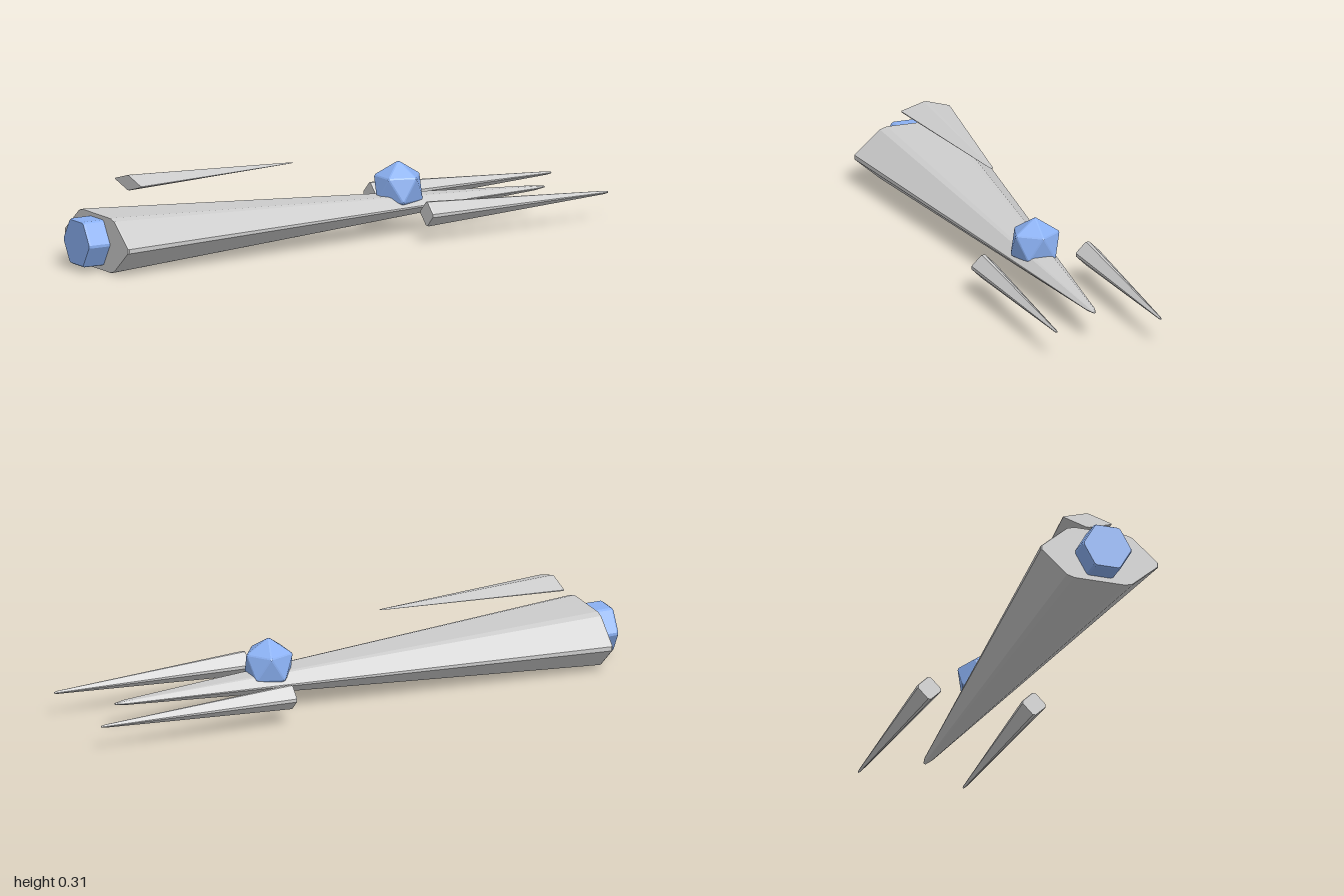
import * as THREE from 'three';
import { ConvexGeometry } from 'three/addons/geometries/ConvexGeometry.js';

const grey = new THREE.MeshStandardMaterial({ color: 0xcccccc, flatShading: true });
const blue = new THREE.MeshStandardMaterial({ color: 0x8ab0f2, flatShading: true });

// Regular polygon with chamfered corners, scaled to fill -1..1 in y and z
function chamferedPolygon(sides, chamfer) {
  const corner = i => {
    const a = (i / sides) * Math.PI * 2;
    return new THREE.Vector2(Math.cos(a), Math.sin(a));
  };
  const pts = [];
  for (let i = 0; i < sides; i++) {
    pts.push(corner(i).lerp(corner(i - 1), chamfer), corner(i).lerp(corner(i + 1), chamfer));
  }
  const w = Math.max(...pts.map(p => p.x)), h = Math.max(...pts.map(p => p.y));
  return pts.map(p => ({ z: p.x / w, y: p.y / h }));
}

// Sections along x: stations are [x, scale] pairs of the same outline
function loft(outline, stations, halfH, halfW) {
  const pos = [];
  const at = (s, i) => {
    const p = outline[i % outline.length];
    return [s[0], p.y * halfH * s[1], p.z * halfW * s[1]];
  };
  const first = stations[0], last = stations[stations.length - 1];
  for (let i = 0; i < outline.length; i++) {
    for (let k = 0; k < stations.length - 1; k++) {
      const a = stations[k], b = stations[k + 1];
      pos.push(...at(a, i), ...at(b, i), ...at(a, i + 1));
      pos.push(...at(b, i), ...at(b, i + 1), ...at(a, i + 1));
    }
    pos.push(first[0], 0, 0, ...at(first, i), ...at(first, i + 1));
    pos.push(last[0], 0, 0, ...at(last, i + 1), ...at(last, i));
  }
  const g = new THREE.BufferGeometry();
  g.setAttribute('position', new THREE.Float32BufferAttribute(pos, 3));
  g.computeVertexNormals();
  return g;
}

// Icosahedron standing on a corner, edges bevelled by shrinking each face
function bevelledIcosahedron(r, shrink) {
  const ring = (y, turn) => Array.from({ length: 5 }, (_, i) => {
    const a = turn + (i * Math.PI * 2) / 5;
    return new THREE.Vector3(Math.cos(a) * 0.8944, y, Math.sin(a) * 0.8944).multiplyScalar(r);
  });
  const up = ring(0.4472, 0), low = ring(-0.4472, Math.PI / 5);
  const top = new THREE.Vector3(0, r, 0), bottom = new THREE.Vector3(0, -r, 0);
  const pts = [];
  for (let i = 0; i < 5; i++) {
    const j = (i + 1) % 5;
    for (const f of [[top, up[i], up[j]], [up[i], up[j], low[i]],
      [low[i], low[j], up[j]], [bottom, low[i], low[j]]]) {
      const c = f[0].clone().add(f[1]).add(f[2]).divideScalar(3);
      f.forEach(v => pts.push(c.clone().lerp(v, shrink)));
    }
  }
  return new ConvexGeometry(pts);
}

export function createModel() {
  const model = new THREE.Group();
  const add = (name, geometry, material, x, y, z) => {
    const m = new THREE.Mesh(geometry, material);
    m.name = name;
    m.position.set(x, y, z);
    model.add(m);
  };
  const axisY = 0.097;

  // Long tapering six-sided hull
  add('hull', loft(chamferedPolygon(6, 0.08),
    [[-0.92, 0.985], [-0.915, 1], [0.82, 0.075], [0.86, 0.025]], 0.096, 0.213),
  grey, 0, axisY, 0);

  // Engine block at the stern
  add('engine', loft(chamferedPolygon(6, 0.06),
    [[-1, 0.95], [-0.993, 1], [-0.9, 1]], 0.079, 0.089),
  blue, 0, axisY + 0.002, 0);

  // Paired side spikes flanking the bow
  const spike = loft(chamferedPolygon(4, 0.12),
    [[0.28, 0.95], [0.285, 1], [0.985, 0.13], [1, 0.07]], 0.0425, 0.043);
  add('leftSpike', spike, grey, 0, axisY, 0.19);
  add('rightSpike', spike, grey, 0, axisY, -0.19);

  // Flat spike floating above the stern
  add('topSpike', loft(chamferedPolygon(4, 0.06),
    [[-0.795, 0.98], [-0.79, 1], [-0.155, 0.08], [-0.14, 0.04]], 0.026, 0.088),
  grey, 0, 0.287, 0);

  // Faceted cockpit gem
  add('cockpit', bevelledIcosahedron(0.094, 0.9), blue, 0.28, 0.157, 0);

  return model;
}
